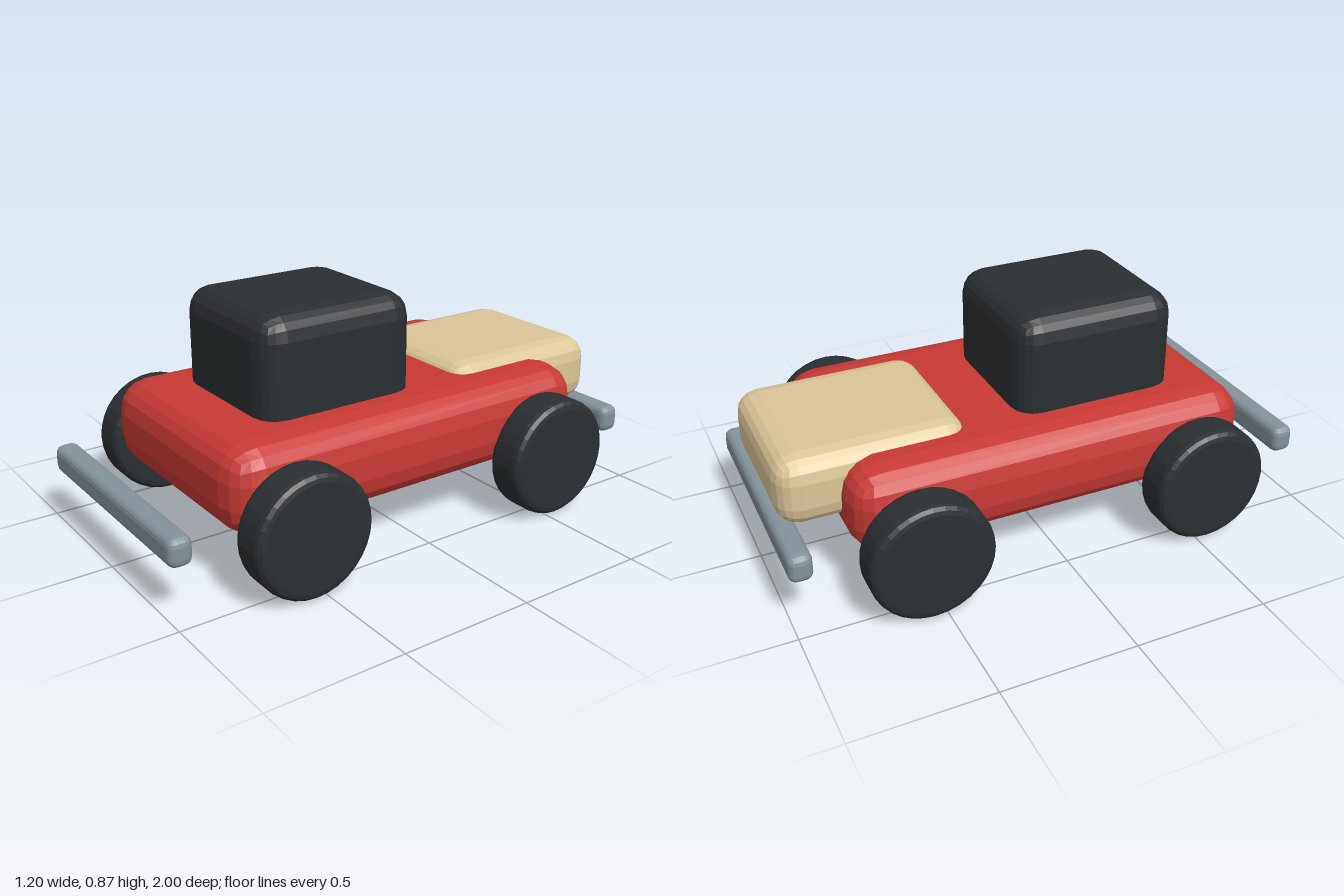
import * as THREE from 'three';
import { RoundedBoxGeometry } from 'three/addons/geometries/RoundedBoxGeometry.js';

const paint = (color) => new THREE.MeshStandardMaterial({ color, flatShading: true });
const red = paint(0xc83a34);
const dark = paint(0x2b2f32);
const cream = paint(0xdcc698);
const steel = paint(0x84929a);

// Rounded block given by its extents on each axis
function block(name, [x0, x1], [y0, y1], [z0, z1], radius, material) {
  const geometry = new RoundedBoxGeometry(x1 - x0, y1 - y0, z1 - z0, 2, radius);
  const mesh = new THREE.Mesh(geometry, material);
  mesh.name = name;
  mesh.position.set((x0 + x1) / 2, (y0 + y1) / 2, (z0 + z1) / 2);
  return mesh;
}

// Solid wheel with rounded shoulders, turned so its axle lies along x
function wheelGeometry(radius, width, bevel) {
  const h = width / 2;
  const profile = [new THREE.Vector2(0, -h)];
  for (const side of [-1, 1]) {
    for (let i = 0; i <= 3; i++) {
      const a = (side < 0 ? i - 3 : i) * Math.PI / 6;
      profile.push(new THREE.Vector2(
        radius - bevel + bevel * Math.cos(a),
        side * (h - bevel) + bevel * Math.sin(a)
      ));
    }
  }
  profile.push(new THREE.Vector2(0, h));
  return new THREE.LatheGeometry(profile, 32).rotateZ(Math.PI / 2);
}

export function createModel() {
  const car = new THREE.Group();
  car.name = 'toyCar';

  // Body, cabin and rear trunk
  car.add(
    block('body', [-0.47, 0.47], [0.185, 0.515], [-0.765, 0.765], 0.12, red),
    block('cabin', [-0.293, 0.293], [0.41, 0.875], [-0.09, 0.54], 0.09, dark),
    block('trunk', [-0.313, 0.313], [0.285, 0.55], [-0.978, -0.277], 0.085, cream)
  );

  // Bumpers standing clear of each end
  car.add(
    block('frontBumper', [-0.465, 0.465], [0.192, 0.297], [0.913, 1], 0.03, steel),
    block('rearBumper', [-0.465, 0.465], [0.192, 0.297], [-1, -0.913], 0.03, steel)
  );

  // Four wheels
  const wheel = wheelGeometry(0.225, 0.15, 0.03);
  for (const [end, z] of [['front', 0.543], ['rear', -0.543]]) {
    for (const [side, x] of [['Left', 0.525], ['Right', -0.525]]) {
      const mesh = new THREE.Mesh(wheel, dark);
      mesh.name = `${end}${side}Wheel`;
      mesh.position.set(x, 0.227, z);
      car.add(mesh);
    }
  }
  return car;
}
